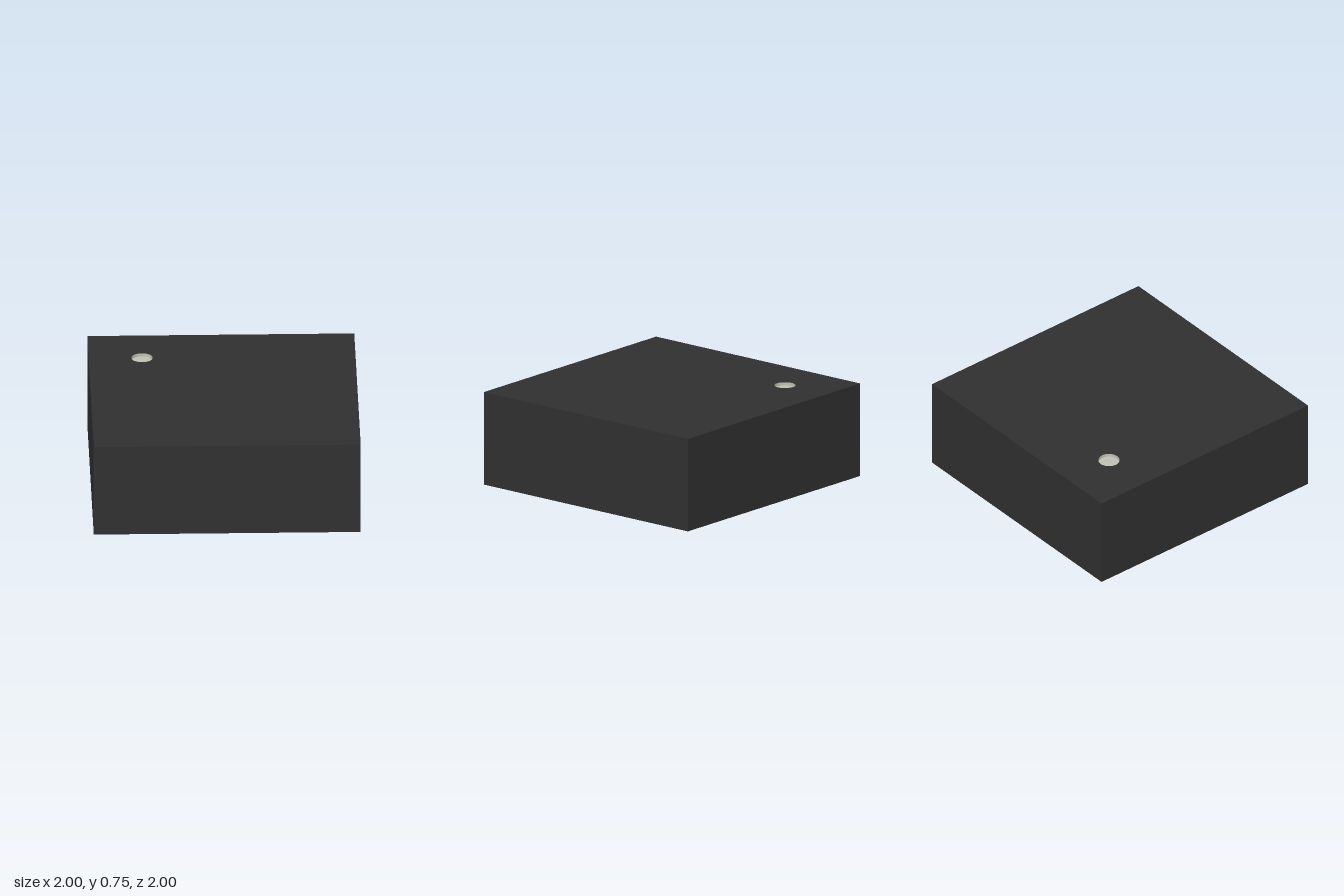
import * as THREE from 'three';

const BOTTOM = 0.03, TOP = 0.75;            // body height range
const DOT = { x: -0.6, z: -0.6, r: 0.08, depth: 0.025 };

export function createModel() {
  const black = new THREE.MeshStandardMaterial({ color: 0x303030 });
  black.name = 'blackPlastic';
  const metal = new THREE.MeshStandardMaterial({ color: 0xc0c0b3 });
  metal.name = 'paleMetal';

  const model = new THREE.Group();
  model.name = 'chipPackage';
  const add = (name, geometry, material, x, y, z) => {
    const mesh = new THREE.Mesh(geometry, material);
    mesh.name = name;
    mesh.position.set(x, y, z);
    model.add(mesh);
    return mesh;
  };

  // Body sides and underside: a box without its top face (indices 12 to 17)
  const box = new THREE.BoxGeometry(2, TOP - BOTTOM, 2);
  box.setIndex(Array.from(box.index.array).filter((_, i) => i < 12 || i > 17));
  box.clearGroups();
  add('body', box, black, 0, (TOP + BOTTOM) / 2, 0);

  // Top face with a round opening for the marker
  const face = new THREE.Shape([[-1, -1], [1, -1], [1, 1], [-1, 1]].map(p => new THREE.Vector2(...p)));
  face.holes.push(new THREE.Path().absarc(DOT.x, -DOT.z, DOT.r, 0, Math.PI * 2, true));
  add('bodyTop', new THREE.ShapeGeometry(face, 24).rotateX(-Math.PI / 2), black, 0, TOP, 0);

  // Shallow recessed marker: floor and inward-facing wall
  const cup = new THREE.LatheGeometry([
    new THREE.Vector2(DOT.r, 0),
    new THREE.Vector2(DOT.r, -DOT.depth),
  ], 48);
  const wall = metal.clone();
  wall.side = THREE.DoubleSide;
  wall.name = 'paleMetalTwoSided';
  add('markerWall', cup, wall, DOT.x, TOP, DOT.z);
  add('markerFloor', new THREE.CircleGeometry(DOT.r, 48).rotateX(-Math.PI / 2), metal,
    DOT.x, TOP - DOT.depth, DOT.z);

  // Two rows of four contact pads underneath
  const pad = new THREE.BoxGeometry(0.2, BOTTOM, 0.4);
  for (const z of [-0.72, 0.72]) {
    for (const x of [-0.78, -0.26, 0.26, 0.78]) {
      add('contactPad', pad, metal, x, BOTTOM / 2, z);
    }
  }
  return model;
}
